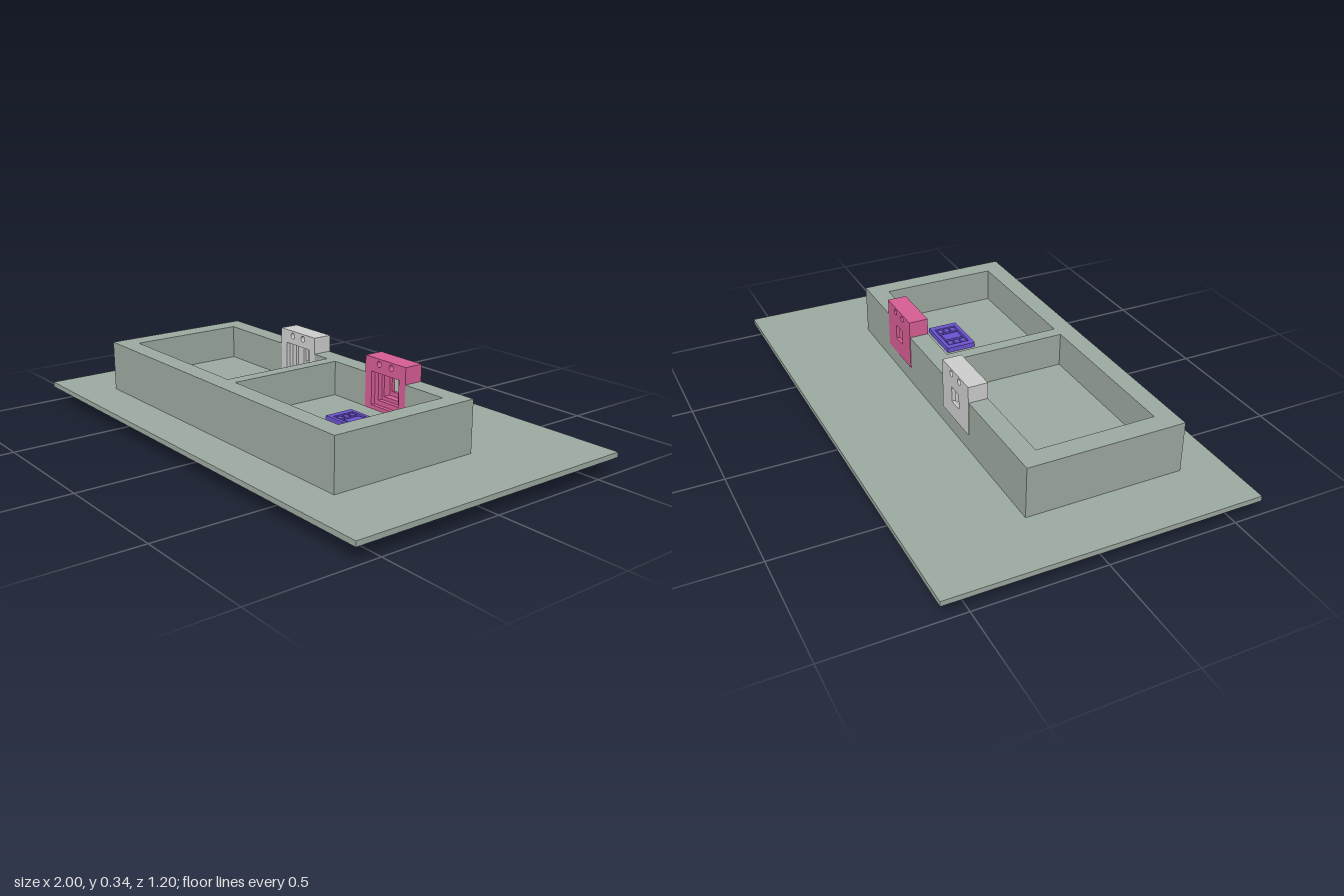
import * as THREE from 'three';

const material = (color) => new THREE.MeshStandardMaterial({ color, flatShading: true });
const green = material(0x9ba89f);
const grey = material(0xcccccc);
const pink = material(0xd45c92);
const blue = material(0x6a52d0);

const FLOOR = 0.145, RIM = 0.28;

function add(parent, name, geometry, mat) {
  const mesh = new THREE.Mesh(geometry, mat);
  mesh.name = name;
  parent.add(mesh);
  return mesh;
}

// Box given by its limits on each axis
function box(x0, x1, y0, y1, z0, z1) {
  return new THREE.BoxGeometry(x1 - x0, y1 - y0, z1 - z0)
    .translate((x0 + x1) / 2, (y0 + y1) / 2, (z0 + z1) / 2);
}

function rectPath(cx, cy, w, h, Type = THREE.Path) {
  const a = w / 2, b = h / 2;
  return new Type([[-a, -b], [a, -b], [a, b], [-a, b]]
    .map(([x, y]) => new THREE.Vector2(cx + x, cy + y)));
}

// Extrude a plan drawn as (x, -z) from y0 up to y1
function extrudeUp(shape, y0, y1) {
  return new THREE.ExtrudeGeometry(shape, { depth: y1 - y0, bevelEnabled: false })
    .rotateX(-Math.PI / 2).translate(0, y0, 0);
}

// Jack holder: stacked slabs whose square openings step down towards the back
function createHolder(name, x, mat) {
  const holder = new THREE.Group();
  holder.name = name;
  const layers = [
    // back z, front z, opening width, opening height, opening centre y
    [-0.182, -0.168, 0.06, 0.06, 0.095],
    [-0.168, -0.14, 0.085, 0.085, 0.09],
    [-0.14, -0.122, 0.11, 0.105, 0.086],
    [-0.122, -0.105, 0.15, 0.13, 0.08],
  ];
  layers.forEach(([z0, z1, w, h, cy], i) => {
    const shape = rectPath(0, 0.1, 0.22, 0.2, THREE.Shape);
    shape.holes.push(rectPath(0, cy, w, h));
    for (const s of [-1, 1]) {
      shape.holes.push(new THREE.Path().absarc(s * 0.033, 0.18, 0.012, 0, Math.PI * 2, true));
    }
    const slab = new THREE.ExtrudeGeometry(shape, { depth: z1 - z0, bevelEnabled: false, curveSegments: 16 });
    add(holder, 'holderLayer' + (i + 1), slab.translate(0, 0, z0), mat);
  });
  holder.position.set(x, FLOOR, 0);
  return holder;
}

// Flat insert with a raised rim, centre panel and two columns of clips
function createInsert() {
  const insert = new THREE.Group();
  insert.name = 'floorInsert';
  add(insert, 'insertBase', box(-0.095, 0.095, 0, 0.009, -0.06, 0.06), blue);
  const rim = rectPath(0, 0, 0.19, 0.12, THREE.Shape);
  rim.holes.push(rectPath(0, 0, 0.14, 0.09));
  add(insert, 'insertRim', extrudeUp(rim, 0.009, 0.02), blue);
  add(insert, 'insertPanel', box(-0.024, 0.024, 0.009, 0.018, -0.036, 0.036), blue);
  for (const side of [-1, 1]) {
    for (const row of [-1, 0, 1]) {
      const clip = add(insert, 'insertClip', new THREE.BoxGeometry(0.028, 0.009, 0.02), blue);
      clip.position.set(side * 0.05, 0.0135, row * 0.028);
    }
  }
  insert.position.set(0.35, FLOOR, 0.06);
  return insert;
}

export function createModel() {
  const model = new THREE.Group();
  model.name = 'trayWithJackHolders';

  // Wide thin panel and the solid bottom of the tray passing through it
  add(model, 'panel', box(-1, 1, 0.06, 0.08, -0.6, 0.6), green);
  add(model, 'trayBase', box(-0.755, 0.695, 0, FLOOR, -0.18, 0.435), green);

  // Walls around two pockets, open at the back where the holders slot in
  const X0 = -0.755, X1 = 0.695, B = 0.18, F = -0.435, b = 0.105, f = -0.36;
  const plan = [
    [X0, F], [X1, F], [X1, B],
    [0.43, B], [0.43, b], [0.62, b], [0.62, f], [0.03, f], [0.03, b], [0.21, b], [0.21, B],
    [-0.1, B], [-0.1, b], [-0.02, b], [-0.02, f], [-0.675, f], [-0.675, b], [-0.32, b], [-0.32, B],
    [X0, B],
  ];
  const walls = new THREE.Shape(plan.map(([x, y]) => new THREE.Vector2(x, y)));
  add(model, 'trayWalls', extrudeUp(walls, FLOOR, RIM), green);

  model.add(createHolder('greyHolder', -0.21, grey));
  model.add(createHolder('pinkHolder', 0.32, pink));
  model.add(createInsert());

  // Small tab against the back wall
  add(model, 'tab', box(0.512, 0.545, FLOOR, 0.18, -0.105, -0.065), grey);

  return model;
}
